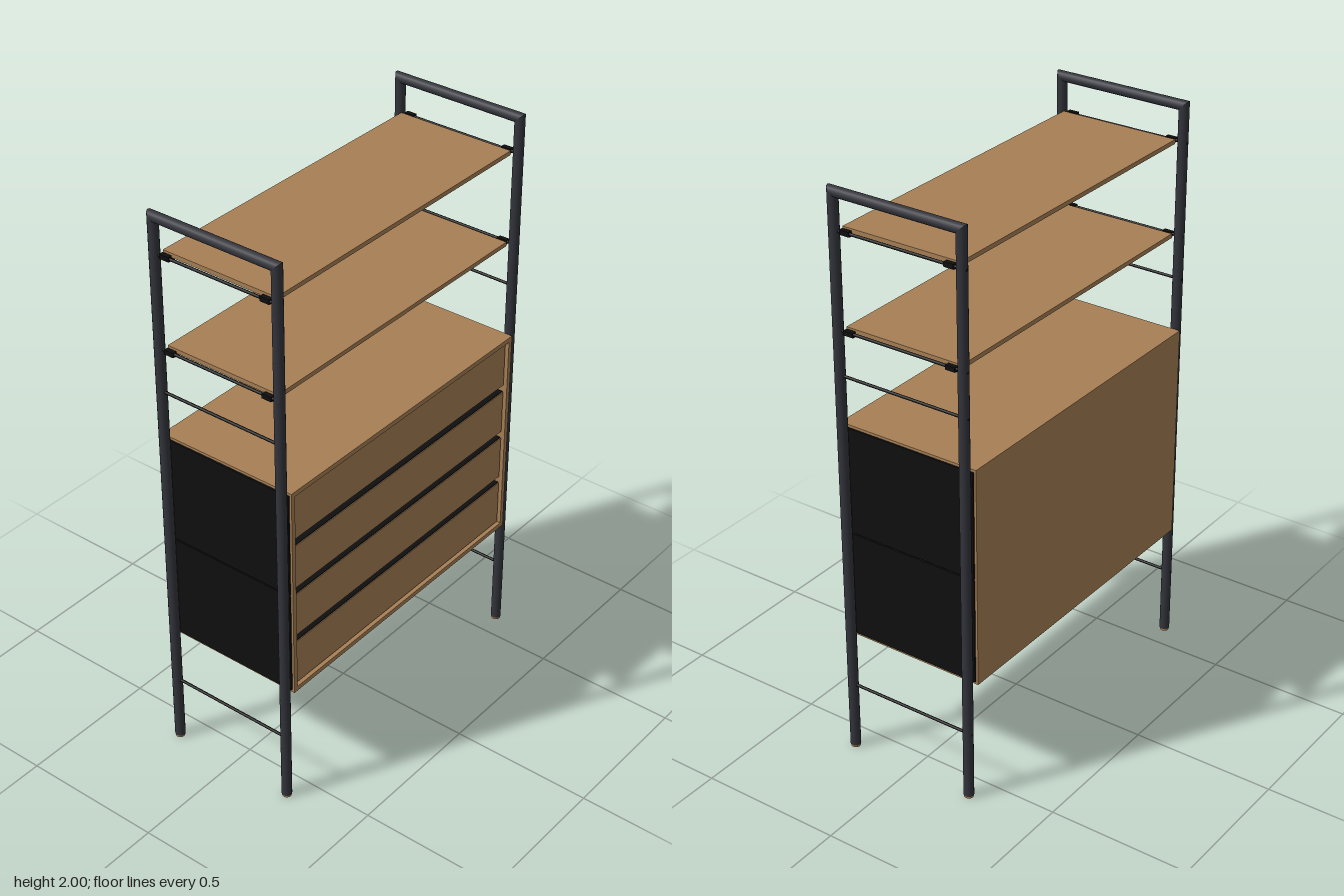
import * as THREE from 'three';

export function createModel() {
  const model = new THREE.Group();
  model.name = 'shelfUnit';
  const mat = (name, color) => {
    const m = new THREE.MeshStandardMaterial({ color });
    m.name = name;
    return m;
  };
  const wood = mat('oak wood', 0xa67f55);
  const steel = mat('charcoal steel', 0x33343b);
  const black = mat('black panel', 0x0f0f10);

  const add = (name, geo, material, x = 0, y = 0, z = 0, parent = model) => {
    const m = new THREE.Mesh(geo, material);
    m.name = name;
    m.position.set(x, y, z);
    parent.add(m);
    return m;
  };
  // Box given by its limits on each axis
  const box = (name, material, x0, x1, y0, y1, z0, z1, parent) =>
    add(name, new THREE.BoxGeometry(x1 - x0, y1 - y0, z1 - z0), material,
      (x0 + x1) / 2, (y0 + y1) / 2, (z0 + z1) / 2, parent);

  const R = 0.0175, POST_X = 0.587, POST_Z = 0.233, RAIL_Y = 2 - R;

  // Upright tube, its top cut at 45 degrees to meet the rail
  const postGeometry = (outward) => {
    const h = RAIL_Y - 0.008;
    const g = new THREE.CylinderGeometry(R, R, h, 16, 1, true);
    const p = g.attributes.position;
    for (let i = 0; i < p.count; i++) {
      if (p.getY(i) > 0) p.setY(i, h / 2 + p.getZ(i) * outward);
    }
    return g.translate(0, 0.008 + h / 2, 0);
  };
  // Top rail with both ends mitred
  const railGeometry = () => {
    const g = new THREE.CylinderGeometry(R, R, POST_Z * 2, 16, 1, true).rotateX(Math.PI / 2);
    const p = g.attributes.position;
    for (let i = 0; i < p.count; i++) {
      p.setZ(i, Math.sign(p.getZ(i)) * (POST_Z + p.getY(i)));
    }
    return g;
  };
  const rodGeometry = new THREE.CylinderGeometry(0.005, 0.005, 0.485, 8).rotateX(Math.PI / 2);

  // Side frames: posts, feet, top rail and cross rods
  for (const side of [-1, 1]) {
    const frame = new THREE.Group();
    frame.name = side > 0 ? 'leftFrame' : 'rightFrame';
    frame.position.x = side * POST_X;
    model.add(frame);
    for (const s of [-1, 1]) {
      add('post', postGeometry(s), steel, 0, 0, s * POST_Z, frame);
      add('foot', new THREE.CylinderGeometry(R * 0.9, R * 0.9, 0.01, 16), wood, 0, 0.005, s * POST_Z, frame);
    }
    add('topRail', railGeometry(), steel, 0, RAIL_Y, 0, frame);
    for (const y of [0.247, 1.382, 1.535, 1.86]) {
      add('crossRod', rodGeometry, black, 0, y, -0.008, frame);
    }
  }

  // Open shelves with clips hooked over the rods
  for (const y of [1.535, 1.862]) {
    box('shelf', wood, -0.57, 0.57, y - 0.007, y + 0.008, -0.215, 0.215);
    for (const sx of [-1, 1]) {
      for (const sz of [-1, 1]) {
        add('shelfClip', new THREE.BoxGeometry(0.075, 0.006, 0.03), black, sx * 0.548, y - 0.01, sz * 0.19);
        add('clipHook', new THREE.BoxGeometry(0.016, 0.016, 0.035), black, sx * 0.587, y - 0.001, sz * 0.19);
      }
    }
  }

  // Cabinet shell
  const cabinet = new THREE.Group();
  cabinet.name = 'cabinet';
  model.add(cabinet);
  box('cabinetTop', wood, -0.568, 0.568, 1.188, 1.205, -0.26, 0.256, cabinet);
  box('cabinetBottom', wood, -0.568, 0.568, 0.433, 0.45, -0.26, 0.256, cabinet);
  box('cabinetBack', wood, -0.568, 0.568, 0.45, 1.188, -0.26, -0.245, cabinet);
  for (const s of [-1, 1]) {
    add('cabinetSide', new THREE.BoxGeometry(0.016, 0.738, 0.501), wood, s * 0.56, 0.819, 0.0055, cabinet);
    // Dark outer side panels in two halves with a narrow seam
    for (const y of [0.63, 1.009]) {
      add('sidePanel', new THREE.BoxGeometry(0.006, 0.374, 0.5), black, s * 0.571, y, -0.002, cabinet);
    }
  }
  box('cabinetInterior', black, -0.552, 0.552, 0.45, 1.188, 0.18, 0.2, cabinet);

  // Drawer fronts separated by dark finger gaps
  for (const [y0, y1] of [[0.456, 0.62], [0.647, 0.806], [0.833, 0.992], [1.02, 1.184]]) {
    box('drawerFront', wood, -0.546, 0.546, y0, y1, 0.215, 0.246, cabinet);
    box('drawerGrip', black, -0.546, 0.546, y1 - 0.001, y1 + 0.003, 0.2, 0.243, cabinet);
  }
  return model;
}
